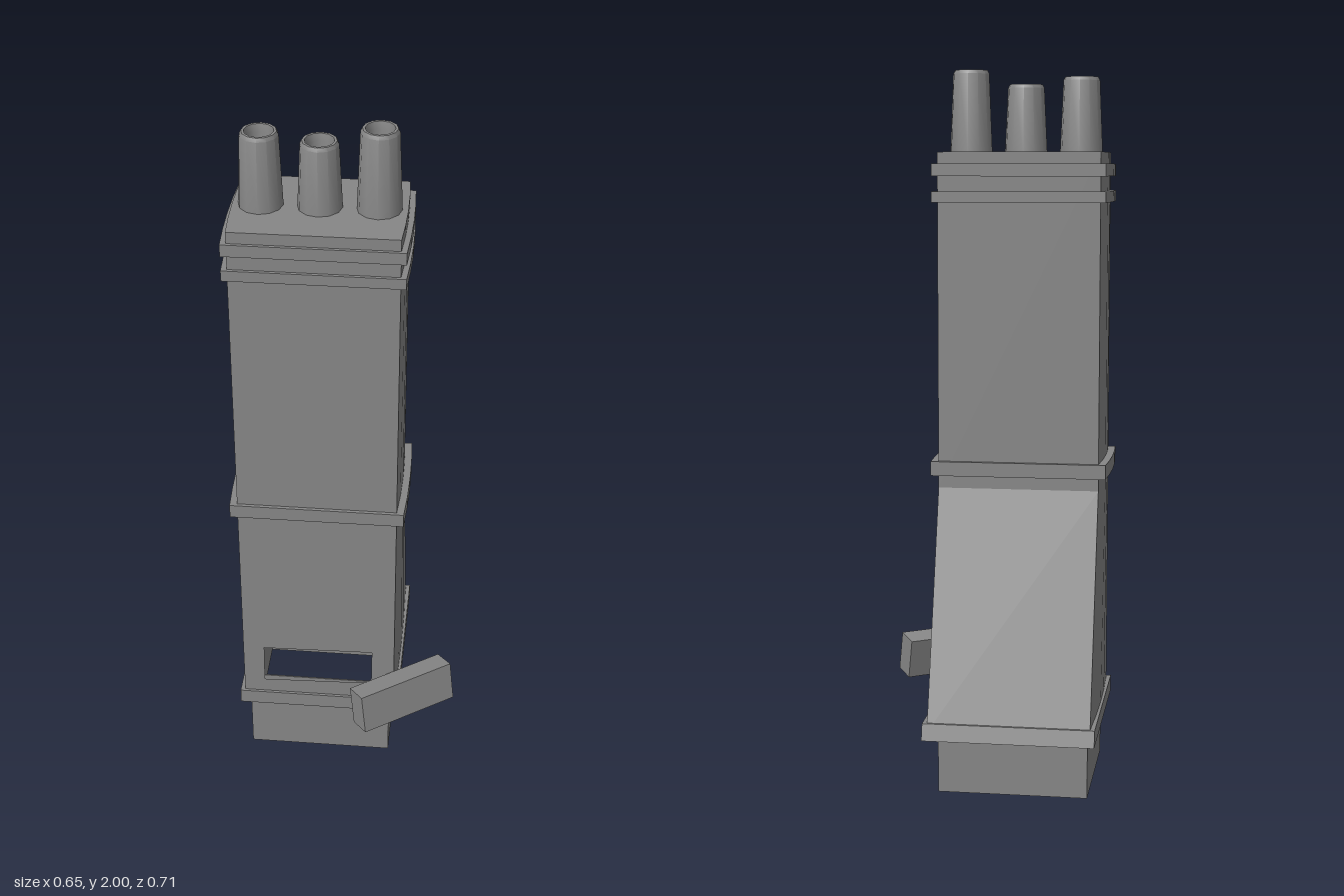
import * as THREE from 'three';
import { toCreasedNormals } from 'three/addons/utils/BufferGeometryUtils.js';

const CX = -0.075; // the stack sits off-centre because of the loose block
const HALF = 0.23, BOW = 0.006; // half width of the shaft, bulge of its sides
const FRONT = 0.197, BACK = -0.134, HEEL = -0.342;
const FOOT = 0.2, KNEE = 0.845, TOP = 1.774;

const mat = new THREE.MeshStandardMaterial({ color: 0x878787, side: THREE.DoubleSide });

function add(parent, name, geometry) {
  const mesh = new THREE.Mesh(geometry, mat);
  mesh.name = name;
  parent.add(mesh);
  return mesh;
}

// Rectangle with gently bulging left and right sides (shape y = -z)
function outline(Type, half, front, back, bow) {
  const mid = -(front + back) / 2, corner = half - bow, peak = half + bow;
  return new Type()
    .moveTo(-corner, -front)
    .lineTo(corner, -front)
    .quadraticCurveTo(peak, mid, corner, -back)
    .lineTo(-corner, -back)
    .quadraticCurveTo(-peak, mid, -corner, -front);
}

// Hollow ring standing from y0 to y1
function frame(half, front, back, y0, y1, wall, bow = 0) {
  const shape = outline(THREE.Shape, half, front, back, bow);
  shape.holes.push(outline(THREE.Path, half - wall, front - wall, back + wall, bow));
  const g = new THREE.ExtrudeGeometry(shape, { depth: y1 - y0, bevelEnabled: false, curveSegments: 4 });
  return toCreasedNormals(g.rotateX(-Math.PI / 2).translate(0, y0, 0), 0.5);
}

// Plane whose (u, v) grid is mapped to positions by a rule
function sheet(cols, rows, rule) {
  const g = new THREE.PlaneGeometry(1, 1, cols, rows);
  const p = g.attributes.position;
  for (let i = 0; i < p.count; i++) p.setXYZ(i, ...rule(p.getX(i) + 0.5, p.getY(i) + 0.5));
  g.computeVertexNormals();
  return g;
}

export function createModel() {
  const model = new THREE.Group();
  model.name = 'chimney';
  const stack = new THREE.Group();
  stack.name = 'stack';
  stack.position.x = CX;
  model.add(stack);

  // Open square plinth, three of its walls rising behind the hearth opening
  add(stack, 'plinth', frame(0.209, 0.18, -0.246, 0, 0.27, 0.004));
  for (const s of [-1, 1]) {
    add(stack, 'hearthSide', new THREE.BoxGeometry(0.004, 0.18, 0.426).translate(s * 0.207, 0.36, -0.033));
  }
  add(stack, 'hearthBack', new THREE.BoxGeometry(0.418, 0.18, 0.004).translate(0, 0.36, -0.244));

  // Front wall with hearth opening
  const edge = HALF - BOW;
  const front = new THREE.Shape().moveTo(-edge, FOOT).lineTo(edge, FOOT).lineTo(edge, TOP).lineTo(-edge, TOP);
  const opening = [[-0.163, 0.27], [0.148, 0.28], [0.158, 0.3], [0.158, 0.4], [-0.162, 0.393]];
  front.holes.push(new THREE.Path(opening.map(([x, y]) => new THREE.Vector2(x, y))));
  add(stack, 'frontWall', new THREE.ShapeGeometry(front).translate(0, 0, FRONT));

  // Bulging side walls that widen backwards below the knee
  const levels = [[FOOT, HEEL], [KNEE, BACK], [TOP, BACK]];
  for (const s of [-1, 1]) {
    add(stack, s > 0 ? 'leftWall' : 'rightWall', sheet(4, 2, (u, v) => {
      const [y, back] = levels[Math.round(v * 2)];
      const t = s > 0 ? u : 1 - u;
      return [s * (HALF - BOW * (2 * t - 1) ** 2), y, FRONT + t * (back - FRONT)];
    }));
  }

  // Back walls and lid
  ['slopedBackWall', 'upperBackWall'].forEach((name, i) => {
    add(stack, name, sheet(1, 1, (u, v) => {
      const [y, z] = levels[i + Math.round(v)];
      return [(1 - 2 * u) * edge, y, z];
    }));
  });
  const lid = new THREE.ShapeGeometry(outline(THREE.Shape, HALF, FRONT, BACK, BOW), 4);
  add(stack, 'lid', lid.rotateX(-Math.PI / 2).translate(0, TOP, 0));

  // Base band, its back edge following the slope
  const base = frame(0.237, 0.205, -0.342, 0.18, 0.225, 0.012);
  const p = base.attributes.position;
  for (let i = 0; i < p.count; i++) {
    if (p.getZ(i) < -0.3 && p.getY(i) < 0.2) p.setZ(i, p.getZ(i) - 0.013);
  }
  base.computeVertexNormals();
  add(stack, 'baseBand', base);

  // Upper bands
  add(stack, 'middleBand', frame(0.25, 0.207, -0.147, 0.88, 0.92, 0.022, BOW));
  for (const [y0, y1] of [[1.637, 1.667], [1.708, 1.742]]) {
    add(stack, 'topBand', frame(0.245, 0.206, -0.146, y0, y1, 0.017, BOW));
  }

  // Three tapered pots of differing height
  [[-0.155, 1.98], [0, 1.96], [0.155, 2]].forEach(([x, top]) => {
    const profile = [[0.06, 1.765], [0.051, top - 0.01], [0.046, top], [0.039, top], [0.036, top - 0.02], [0.036, 1.78], [0, 1.78]]
      .map(([r, y]) => new THREE.Vector2(r, y));
    const pot = add(stack, 'chimneyPot', toCreasedNormals(new THREE.LatheGeometry(profile, 12), 0.55));
    pot.position.set(x, 0, 0.03);
    pot.scale.z = 1.06;
  });

  // Loose block swung away from the opening
  const block = add(model, 'looseBlock', new THREE.BoxGeometry(0.304, 0.117, 0.069));
  block.position.set(0.177, 0.281, 0.231);
  block.rotation.set(-0.2, 0.614, 0, 'YXZ');

  return model;
}
